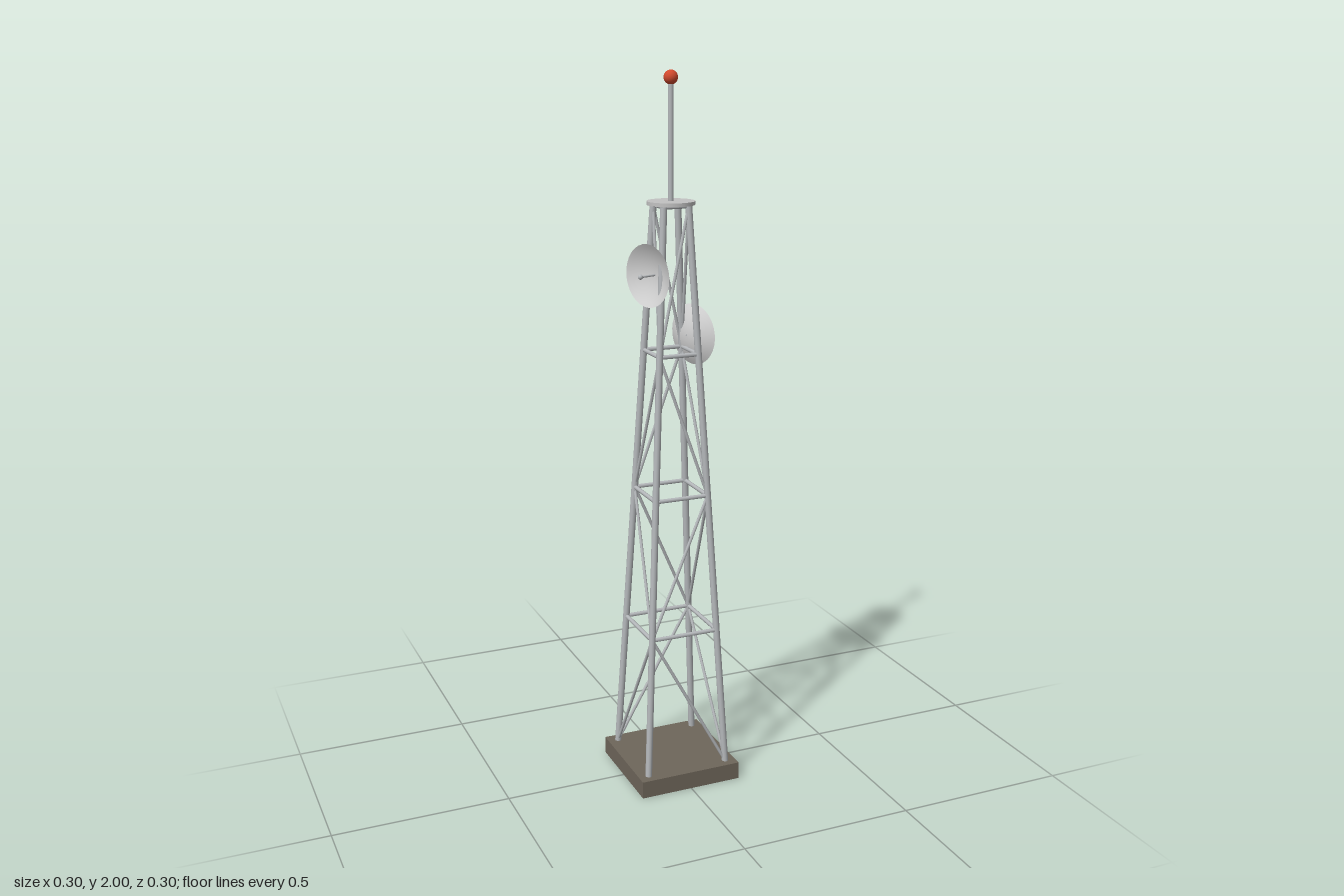
import * as THREE from 'three';

const steel = new THREE.MeshStandardMaterial({ name: 'galvanised steel', color: 0xb6b9bc });
const dishGrey = new THREE.MeshStandardMaterial({ name: 'dish light grey', color: 0xd2d2d2, side: THREE.DoubleSide });
const platformGrey = new THREE.MeshStandardMaterial({ name: 'platform grey', color: 0xc2c2c2 });
const concrete = new THREE.MeshStandardMaterial({ name: 'concrete brown', color: 0x6e665a });
const beaconRed = new THREE.MeshStandardMaterial({ name: 'beacon red', color: 0xd24a2e });

const UP = new THREE.Vector3(0, 1, 0);
const LEVELS = [0.05, 0.455, 0.853, 1.252, 1.65];
const halfWidth = (y) => 0.12 - 0.084 * (y - 0.05) / 1.6;
const SIGNS = [[1, 1], [1, -1], [-1, -1], [-1, 1]];

// Point on leg i at height y
function corner(i, y) {
  const [sx, sz] = SIGNS[i % 4];
  return new THREE.Vector3(sx * halfWidth(y), y, sz * halfWidth(y));
}

function add(parent, name, geometry, material) {
  const mesh = new THREE.Mesh(geometry, material);
  mesh.name = name;
  parent.add(mesh);
  return mesh;
}

// Round bar between two points
function bar(parent, name, a, b, radius, sides = 8) {
  const mesh = add(parent, name, new THREE.CylinderGeometry(radius, radius, a.distanceTo(b), sides), steel);
  mesh.position.copy(a).add(b).multiplyScalar(0.5);
  mesh.quaternion.setFromUnitVectors(UP, b.clone().sub(a).normalize());
}

// Shallow parabolic dish with its feed; local +y is the facing direction
function makeDish(name, y, direction) {
  const dish = new THREE.Group();
  dish.name = name;
  const radius = 0.085, depth = 0.026;
  const profile = [];
  for (let i = 0; i <= 8; i++) {
    const t = i / 8;
    profile.push(new THREE.Vector2(radius * t, depth * (t * t - 1)));
  }
  add(dish, 'reflector', new THREE.LatheGeometry(profile, 32), dishGrey);
  bar(dish, 'feedRod', new THREE.Vector3(0, -depth, 0), new THREE.Vector3(0, 0.025, 0), 0.003);
  add(dish, 'feedHorn', new THREE.SphereGeometry(0.007, 12, 8), steel).position.y = 0.025;
  dish.quaternion.setFromUnitVectors(UP, direction);
  dish.position.copy(direction).multiplyScalar(0.085);
  dish.position.y = y;
  return dish;
}

export function createModel() {
  const tower = new THREE.Group();
  tower.name = 'latticeTower';

  // Foundation
  add(tower, 'foundation', new THREE.BoxGeometry(0.3, 0.05, 0.3), concrete).position.y = 0.025;

  // Legs, horizontal rings and one zigzag brace per face and panel
  const lattice = new THREE.Group();
  lattice.name = 'lattice';
  tower.add(lattice);
  for (let i = 0; i < 4; i++) {
    bar(lattice, 'leg', corner(i, 0.045), corner(i, 1.65), 0.0095, 10);
    for (let k = 0; k < 4; k++) {
      const low = LEVELS[k], high = LEVELS[k + 1];
      bar(lattice, 'ringBar', corner(i, high), corner(i + 1, high), 0.006);
      const flip = (i + k) % 2;
      bar(lattice, 'brace', corner(i + flip, low), corner(i + 1 - flip, high), 0.0045);
    }
  }

  // Top platform, mast and warning light
  add(tower, 'platform', new THREE.CylinderGeometry(0.065, 0.065, 0.01, 32), platformGrey).position.y = 1.657;
  bar(tower, 'mast', new THREE.Vector3(0, 1.66, 0), new THREE.Vector3(0, 1.975, 0), 0.0075, 10);
  add(tower, 'beacon', new THREE.SphereGeometry(0.019, 20, 14), beaconRed).position.y = 1.981;

  // Dishes facing opposite ways
  const facing = new THREE.Vector3(0.94, 0, -0.342).normalize();
  tower.add(makeDish('lowerDish', 1.29, facing));
  tower.add(makeDish('upperDish', 1.47, facing.clone().negate()));

  return tower;
}
